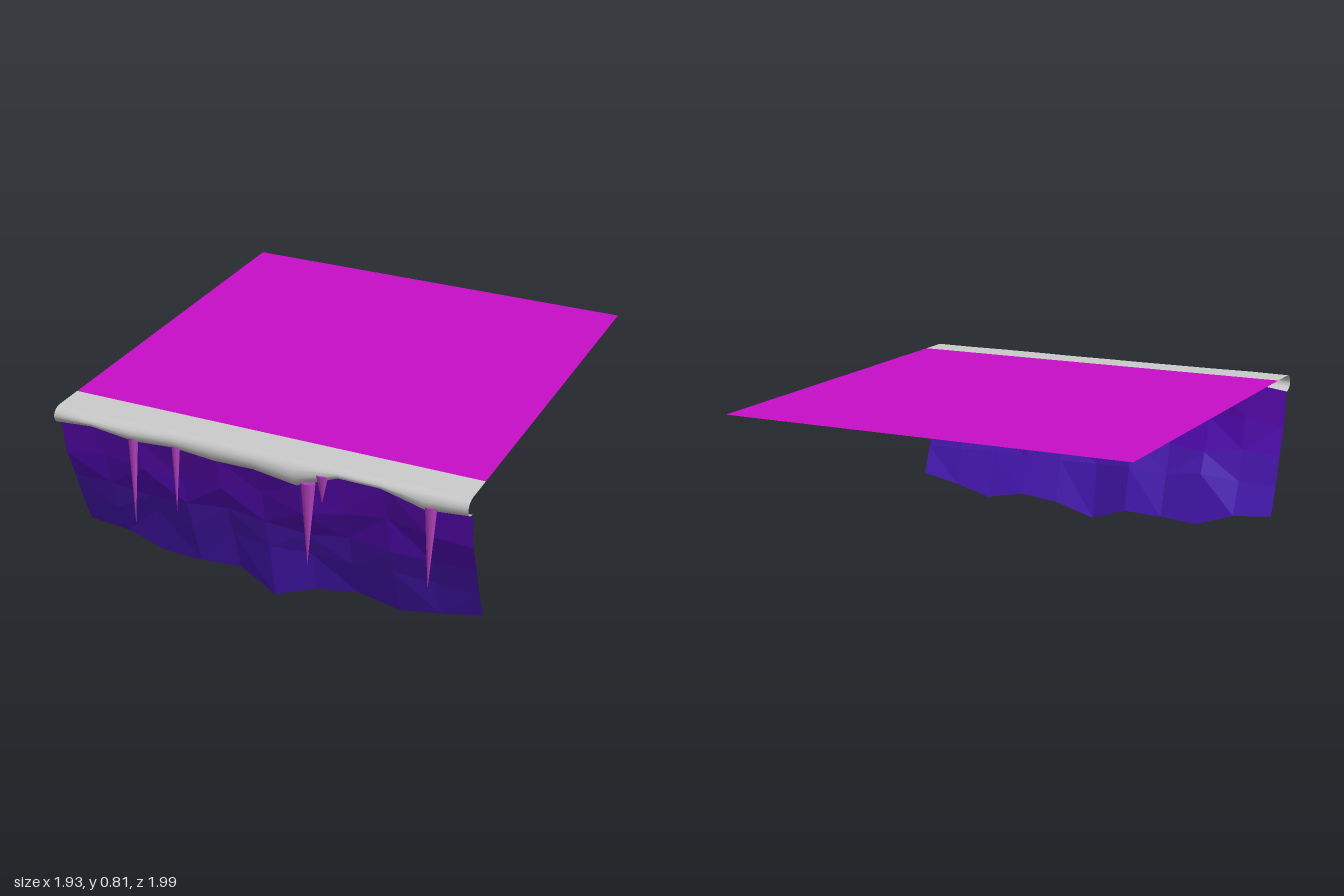
import * as THREE from 'three';

const HALF = 0.967, TOP = 0.81;

// Column heights and depths, left to right across the front
const lipY = [0.73, 0.755, 0.72, 0.73, 0.71, 0.715, 0.685, 0.765, 0.765, 0.71, 0.73];
const lipZ = [0.98, 0.995, 0.985, 0.975, 0.975, 0.98, 0.985, 0.97, 0.975, 0.98, 0.98];
const wallRows = [
  { y: [0.56, 0.59, 0.57, 0.55, 0.56, 0.58, 0.53, 0.57, 0.6, 0.57, 0.56],
    z: [0.905, 0.9, 0.91, 0.89, 0.905, 0.895, 0.91, 0.9, 0.895, 0.91, 0.905] },
  { y: [0.42, 0.43, 0.4, 0.42, 0.43, 0.42, 0.4, 0.43, 0.42, 0.41, 0.42],
    z: [0.855, 0.865, 0.85, 0.87, 0.85, 0.865, 0.855, 0.85, 0.865, 0.85, 0.855] },
  { y: [0.28, 0.28, 0.3, 0.27, 0.29, 0.28, 0.28, 0.27, 0.29, 0.28, 0.28],
    z: [0.81, 0.82, 0.8, 0.825, 0.805, 0.835, 0.815, 0.81, 0.82, 0.805, 0.81] },
  { y: [0.14, 0.12, 0.055, 0.065, 0.075, 0.003, 0.07, 0.095, 0.055, 0.1, 0.14],
    z: [0.755, 0.75, 0.745, 0.76, 0.75, 0.79, 0.765, 0.75, 0.745, 0.76, 0.755] },
];

const columnX = (i) => -HALF + (2 * HALF * i) / 10;

// Surface from a grid of points: rows run downward, columns along x
function gridSurface(rows, cols, point) {
  const positions = [], index = [];
  for (let j = 0; j < rows; j++) {
    for (let i = 0; i < cols; i++) positions.push(...point(i, j));
  }
  for (let j = 0; j < rows - 1; j++) {
    for (let i = 0; i < cols - 1; i++) {
      const a = j * cols + i, b = a + 1, c = a + cols, d = c + 1;
      if ((i + j) % 2) index.push(a, c, b, b, c, d);
      else index.push(a, c, d, a, d, b);
    }
  }
  const geometry = new THREE.BufferGeometry();
  geometry.setAttribute('position', new THREE.Float32BufferAttribute(positions, 3));
  geometry.setIndex(index);
  geometry.computeVertexNormals();
  return geometry;
}

function addMesh(group, name, geometry, color, flatShading = false) {
  const material = new THREE.MeshStandardMaterial({ color, flatShading, side: THREE.DoubleSide });
  const mesh = new THREE.Mesh(geometry, material);
  mesh.name = name;
  group.add(mesh);
  return mesh;
}

export function createModel() {
  const group = new THREE.Group();
  group.name = 'iceLedge';

  // Flat ground on top of the ledge
  const ground = new THREE.PlaneGeometry(2 * HALF, 1.79).rotateX(-Math.PI / 2);
  addMesh(group, 'ground', ground, 0xc80ec8).position.set(0, TOP, -0.105);

  // Rounded lip: flat at the back, rolling over and tucking under to the wall
  const lip = gridSurface(11, 11, (i, j) => {
    if (j === 0) return [columnX(i), TOP, 0.79];
    const angle = (Math.PI * (j - 1)) / 9;
    const bottom = lipY[i], middle = (TOP + bottom) / 2;
    return [
      columnX(i),
      middle + Math.cos(angle) * (TOP - middle),
      0.93 + Math.sin(angle) * (lipZ[i] - 0.93),
    ];
  });
  addMesh(group, 'lip', lip, 0xcccccc);

  // Faceted wall sloping back below the lip, bluer towards its foot
  const wallPoint = (i, j) => j === 0
    ? [columnX(i), lipY[i], 0.93]
    : [columnX(i), wallRows[j - 1].y[i], wallRows[j - 1].z[i]];
  const wall = new THREE.Group();
  wall.name = 'wall';
  [0x5a08b4, 0x5409b8, 0x4c18b8, 0x4818b8].forEach((color, band) => {
    const strip = gridSurface(2, 11, (i, j) => wallPoint(i, j + band));
    addMesh(wall, 'wallBand', strip, color, true);
  });
  group.add(wall);

  // Icicles hanging from the lip: x, top, tip, radius
  const icicles = [
    [-0.58, 0.75, 0.33, 0.022],
    [-0.37, 0.755, 0.44, 0.019],
    [0.255, 0.727, 0.335, 0.033],
    [0.32, 0.775, 0.645, 0.027],
    [0.802, 0.745, 0.36, 0.027],
  ];
  for (const [x, top, tip, radius] of icicles) {
    const length = top - tip;
    const cone = new THREE.ConeGeometry(radius, length, 8)
      .rotateX(Math.PI)
      .translate(0, -length / 2, 0)
      .rotateX(-0.05);
    addMesh(group, 'icicle', cone, 0xb440bc).position.set(x, top, 0.962);
  }
  return group;
}
